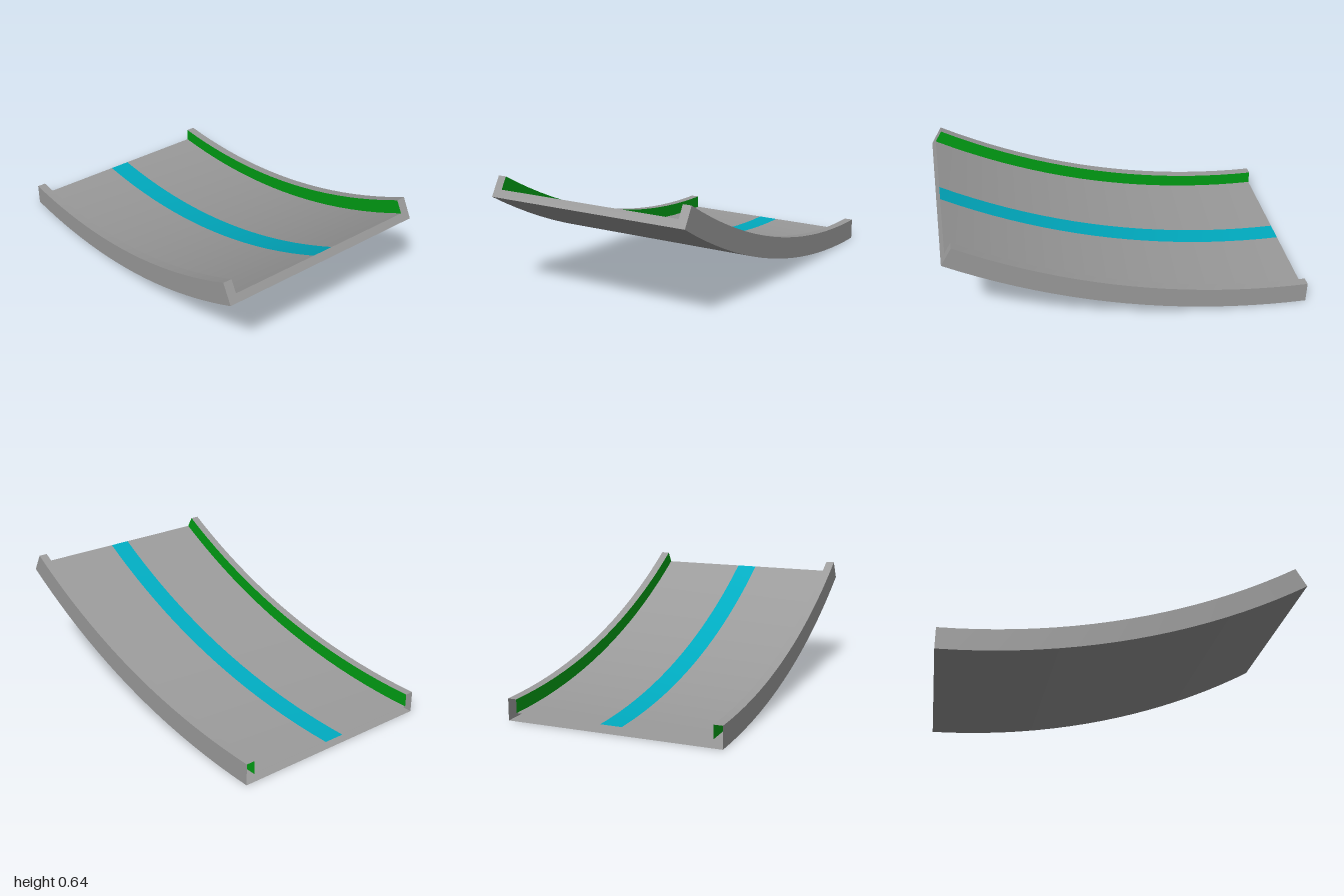
import * as THREE from 'three';

const R = 4, ARC = Math.PI / 6, SEG = 20;      // radius of the underside, swept angle
const W = 0.6, IN = 0.551, STRIPE = 0.06;      // half widths
const FLOOR = 0.046, TOP = 0.12;               // heights above the underside

// The shell is hollow and open at its low end, so both sides show
const paint = (color) => new THREE.MeshStandardMaterial({ color, side: THREE.DoubleSide });
const grey = paint(0x9b9b9b);
const teal = paint(0x00acc1);
const green = paint(0x009e14);

// Smooth band swept along the arc between two section points [z, height]
function ribbon(from, to) {
  const pos = [], index = [];
  for (let i = 0; i <= SEG; i++) {
    const a = (ARC * i) / SEG;
    for (const [z, h] of [from, to]) {
      pos.push(-1 + (R - h) * Math.sin(a), R - (R - h) * Math.cos(a), z);
    }
    if (i < SEG) {
      const k = 2 * i;
      index.push(k, k + 2, k + 3, k, k + 3, k + 1);
    }
  }
  const geo = new THREE.BufferGeometry();
  geo.setAttribute('position', new THREE.Float32BufferAttribute(pos, 3));
  geo.setIndex(index);
  geo.computeVertexNormals();
  return geo;
}

// Flat face drawn in the section plane and swung up to the high end
function highEndCap(points) {
  const shape = new THREE.Shape(points.map(([z, h]) => new THREE.Vector2(z, h)));
  return new THREE.ShapeGeometry(shape)
    .rotateY(Math.PI / 2)
    .translate(0, -R, 0)
    .rotateZ(ARC)
    .translate(-1, R, 0);
}

export function createModel() {
  const group = new THREE.Group();
  const add = (name, geo, material) => {
    const mesh = new THREE.Mesh(geo, material);
    mesh.name = name;
    group.add(mesh);
  };

  // Channel section, counter-clockwise from the front inner floor corner
  const section = [
    [IN, FLOOR], [STRIPE, FLOOR], [-STRIPE, FLOOR], [-IN, FLOOR],
    [-IN, TOP], [-W, TOP], [-W, 0], [W, 0], [W, TOP], [IN, TOP],
  ];
  const bands = [
    ['floorFront', grey], ['centreStripe', teal], ['floorBack', grey],
    ['backWallInside', green], ['backWallTop', grey], ['backWallOutside', grey],
    ['underside', grey],
    ['frontWallOutside', grey], ['frontWallTop', grey], ['frontWallInside', green],
  ];
  bands.forEach(([name, material], i) =>
    add(name, ribbon(section[i], section[(i + 1) % section.length]), material));

  // Closed high end
  add('highEnd', highEndCap(section), grey);

  return group;
}
